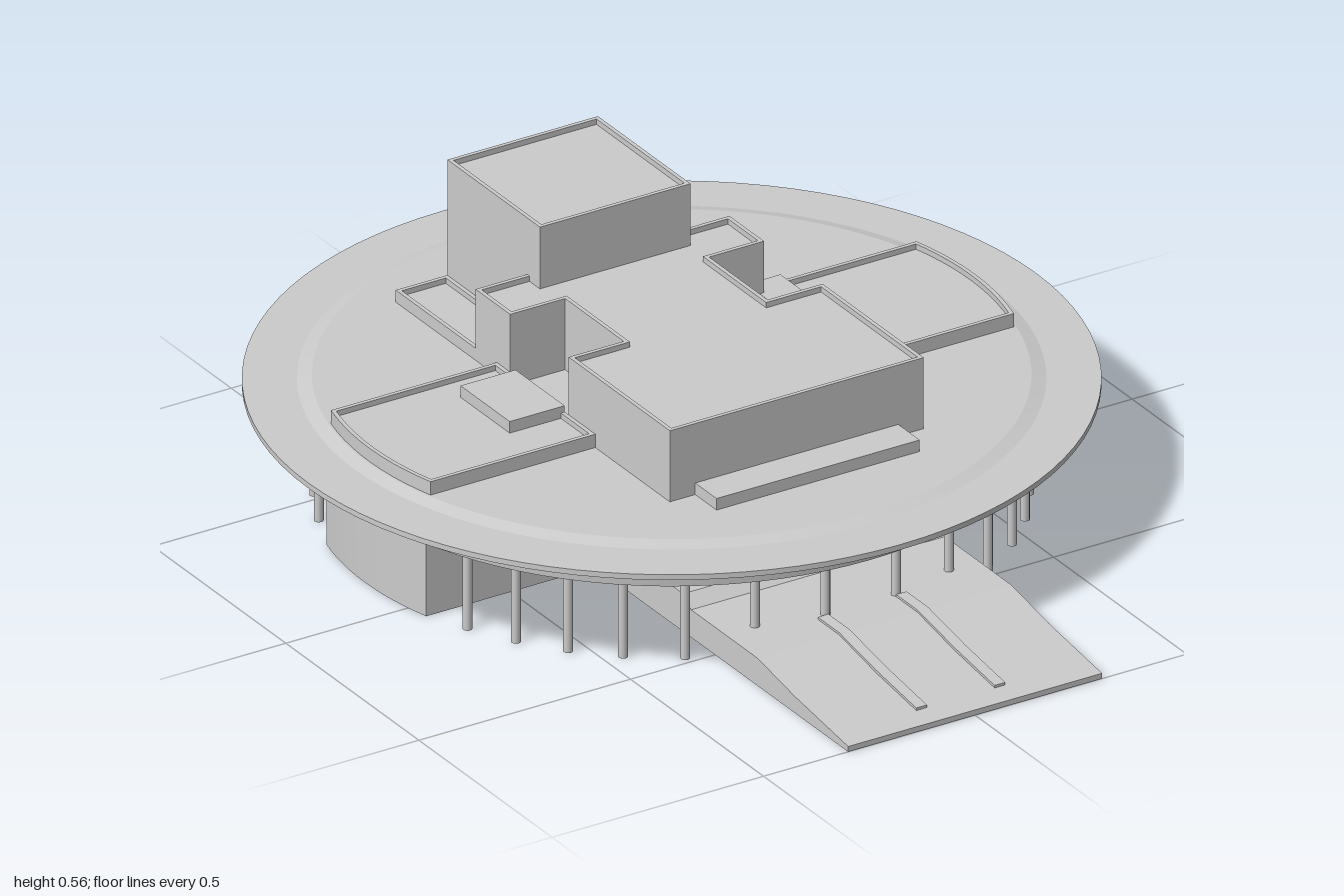
import * as THREE from 'three';
import { toCreasedNormals } from 'three/addons/utils/BufferGeometryUtils.js';

const CZ = -0.14; // centre of the round roof
const grey = new THREE.MeshStandardMaterial({ color: 0xcccccc });

// Plan outlines are lists of [x, z]
const rect = (x0, x1, z0, z1) => [[x0, z0], [x1, z0], [x1, z1], [x0, z1]];

// Wing outline: straight inner end, outer end following the roof's circle
function wingPlan(x0, radius, z0, z1) {
  const pts = [[x0, z1], [x0, z0]];
  const a0 = Math.asin((z0 - CZ) / radius), a1 = Math.asin((z1 - CZ) / radius);
  for (let i = 0; i <= 10; i++) {
    const a = a0 + (a1 - a0) * i / 10;
    pts.push([radius * Math.cos(a), CZ + radius * Math.sin(a)]);
  }
  return pts;
}
const mirrorX = (plan) => plan.map(([x, z]) => [-x, z]).reverse();

// Moves every edge of a plan inwards by d
function inset(plan, d) {
  const n = plan.length;
  const normal = (a, b) => {
    const l = Math.hypot(b[0] - a[0], b[1] - a[1]);
    return [-(b[1] - a[1]) / l, (b[0] - a[0]) / l];
  };
  return plan.map((p, i) => {
    const u = normal(plan[(i + n - 1) % n], p), v = normal(p, plan[(i + 1) % n]);
    const k = d / (1 + u[0] * v[0] + u[1] * v[1]);
    return [p[0] + k * (u[0] + v[0]), p[1] + k * (u[1] + v[1])];
  });
}

const toVectors = (plan) => plan.map(([x, z]) => new THREE.Vector2(x, z));

function add(parent, name, geometry) {
  const mesh = new THREE.Mesh(geometry, grey);
  mesh.name = name;
  parent.add(mesh);
  return mesh;
}

// Extrudes a plan between two heights, with an optional hole
function prism(parent, name, plan, y0, y1, hole) {
  const shape = new THREE.Shape(toVectors(plan));
  if (hole) shape.holes.push(new THREE.Path(toVectors(hole)));
  const g = new THREE.ExtrudeGeometry(shape, { depth: y1 - y0, bevelEnabled: false });
  g.rotateX(Math.PI / 2).translate(0, y1, 0);
  return add(parent, name, toCreasedNormals(g, 0.3));
}

// Flat-roofed block with a thin parapet round its edge
function parapetBlock(parent, name, plan, y0, y1, lip = 0.012) {
  const block = new THREE.Group();
  block.name = name;
  prism(block, name + 'Body', plan, y0, y1 - lip);
  prism(block, name + 'Parapet', plan, y1 - lip, y1, inset(plan, 0.009));
  parent.add(block);
}

// Extrudes a side profile of [z, y] points across x
function sideProfile(parent, name, pts, x, width) {
  const g = new THREE.ExtrudeGeometry(new THREE.Shape(toVectors(pts)), { depth: width, bevelEnabled: false });
  g.rotateY(-Math.PI / 2).translate(x + width / 2, 0, 0);
  return add(parent, name, g);
}

export function createModel() {
  const model = new THREE.Group();
  model.name = 'roundRoofedBuilding';

  // Round roof: ring beam, flared eave and slightly raised top
  const roofProfile = [[0, 0.175], [0.742, 0.175], [0.746, 0.215], [0.765, 0.22], [0.86, 0.25],
    [0.86, 0.262], [0.75, 0.262], [0.72, 0.27], [0, 0.27]];
  const roof = new THREE.LatheGeometry(toVectors(roofProfile), 96);
  add(model, 'roundRoof', toCreasedNormals(roof, 0.2)).position.z = CZ;

  // Columns in four mirrored quadrants, leaving the wings free
  const columns = new THREE.Group();
  columns.name = 'columns';
  const columnGeometry = new THREE.CylinderGeometry(0.01, 0.01, 0.175, 12);
  for (const deg of [6.7, 18.7, 30, 40, 49, 58, 67, 76]) {
    const a = THREE.MathUtils.degToRad(deg);
    for (const sx of [-1, 1]) for (const sz of [-1, 1]) {
      add(columns, 'column', columnGeometry)
        .position.set(sx * 0.715 * Math.sin(a), 0.0875, CZ + sz * 0.715 * Math.cos(a));
    }
  }
  model.add(columns);

  // Ground floor: central hall and two wings
  prism(model, 'centralHall', rect(-0.3, 0.3, -0.7, 0.33), 0, 0.176);
  const lowerWing = wingPlan(0.29, 0.725, -0.32, 0.05);
  prism(model, 'leftWing', lowerWing, 0, 0.176);
  prism(model, 'rightWing', mirrorX(lowerWing), 0, 0.176);

  // Front and back ramps with landings
  sideProfile(model, 'frontRamp', [[0.32, 0], [1, 0], [1, 0.012], [0.8, 0.037], [0.66, 0.062],
    [0.41, 0.062], [0.38, 0.085], [0.32, 0.085]], 0, 0.6);
  sideProfile(model, 'backRamp', [[-1, 0], [-0.69, 0], [-0.69, 0.085], [-0.75, 0.085],
    [-0.78, 0.062], [-0.84, 0.06], [-0.88, 0.037], [-1, 0.012]], 0, 0.6);

  // Low kerbs dividing the ramps
  for (const x of [-0.095, 0.09]) {
    sideProfile(model, 'frontKerb', [[0.58, 0.04], [0.95, 0.005], [0.95, 0.024], [0.8, 0.043],
      [0.66, 0.067], [0.58, 0.067]], x, 0.025);
    sideProfile(model, 'backKerb', [[-0.97, 0.005], [-0.81, 0.04], [-0.81, 0.067], [-0.84, 0.066],
      [-0.88, 0.043], [-0.97, 0.024]], x, 0.025);
  }

  // Upper hall with a notch on each side
  const half = [[0.3, -0.4], [0.3, -0.27], [0.17, -0.27], [0.17, -0.05], [0.3, -0.05], [0.3, 0.33]];
  parapetBlock(model, 'upperHall', [...half, ...mirrorX(half)], 0.26, 0.43);

  // Tower at the back with lower terraces beside it
  parapetBlock(model, 'tower', rect(-0.178, 0.178, -0.7, -0.352), 0.26, 0.557);
  for (const s of [-1, 1]) {
    const plan = rect(0.178, 0.3, -0.7, -0.4);
    parapetBlock(model, 'backTerrace', s > 0 ? plan : mirrorX(plan), 0.26, 0.297);
  }

  // Raised wing roofs and their links to the hall
  parapetBlock(model, 'leftWingRoof', wingPlan(0.37, 0.715, -0.32, 0.05), 0.26, 0.3);
  parapetBlock(model, 'rightWingRoof', mirrorX(wingPlan(0.3, 0.715, -0.32, 0.05)), 0.26, 0.3);
  prism(model, 'leftRoofLink', rect(0.29, 0.37, -0.32, 0.05), 0.26, 0.314);
  prism(model, 'rightRoofBox', rect(-0.43, -0.3, -0.25, -0.065), 0.26, 0.314);

  // Low step in front of the upper hall
  prism(model, 'frontRoofStep', rect(-0.24, 0.24, 0.32, 0.41), 0.26, 0.296);

  return model;
}
